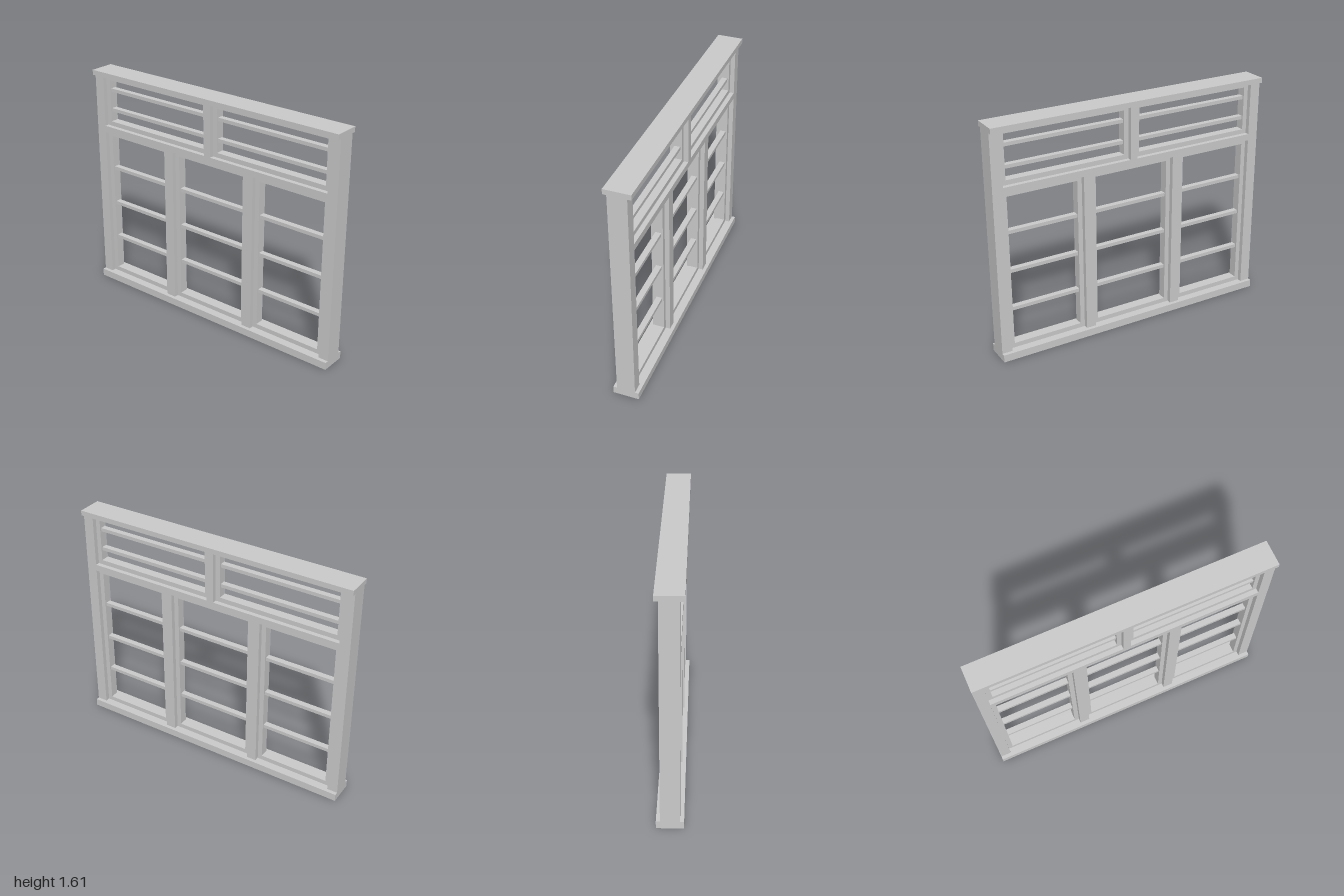
import * as THREE from 'three';

const material = new THREE.MeshStandardMaterial({ color: 0xcccccc, flatShading: true });

// Box spanning z0..z1 and y0..y1, centred on x = 0
function bar(name, depth, z0, z1, y0, y1) {
  const mesh = new THREE.Mesh(new THREE.BoxGeometry(depth, y1 - y0, z1 - z0), material);
  mesh.name = name;
  mesh.position.set(0, (y0 + y1) / 2, (z0 + z1) / 2);
  return mesh;
}

function rectangle(target, z0, z1, y0, y1) {
  target.moveTo(-z1, y0);
  target.lineTo(-z0, y0);
  target.lineTo(-z0, y1);
  target.lineTo(-z1, y1);
  target.closePath();
  return target;
}

// Inset sash: a rectangular ring with horizontal glazing bars
function sash(name, z0, z1, y0, y1, barHeights) {
  const depth = 0.062, rail = 0.032;
  const group = new THREE.Group();
  group.name = name;
  const shape = rectangle(new THREE.Shape(), z0, z1, y0, y1);
  shape.holes.push(rectangle(new THREE.Path(), z0 + rail, z1 - rail, y0 + rail, y1 - rail));
  const geometry = new THREE.ExtrudeGeometry(shape, { depth, bevelEnabled: false });
  geometry.translate(0, 0, -depth / 2);
  geometry.rotateY(Math.PI / 2);
  const ring = new THREE.Mesh(geometry, material);
  ring.name = 'sashFrame';
  group.add(ring);
  for (const y of barHeights) {
    group.add(bar('glazingBar', 0.04, z0 + rail, z1 - rail, y - 0.012, y + 0.012));
  }
  return group;
}

export function createModel() {
  const model = new THREE.Group();
  model.name = 'window';
  const capDepth = 0.176, frameDepth = 0.125;
  const sillTop = 0.052, headBottom = 1.575, height = 1.61;
  const transomBottom = 1.165, transomTop = 1.21;
  const jamb = 0.927;

  // Projecting sill and head
  model.add(bar('sill', capDepth, -1, 1, 0, sillTop));
  model.add(bar('head', capDepth, -1, 1, headBottom, height));

  // Fixed frame
  model.add(bar('transom', frameDepth, -jamb, jamb, transomBottom, transomTop));
  model.add(bar('upperMullion', frameDepth, -0.025, 0.025, transomTop, headBottom));
  for (const [a, b] of [[-1, -jamb], [jamb, 1]]) {
    model.add(bar('jamb', frameDepth, a, b, sillTop, headBottom));
  }
  for (const [a, b] of [[-0.372, -0.302], [0.302, 0.372]]) {
    model.add(bar('lowerMullion', frameDepth, a, b, sillTop, transomBottom));
  }

  // Two wide sashes above, three tall ones below
  for (const [a, b] of [[-jamb, -0.025], [0.025, jamb]]) {
    model.add(sash('upperSash', a, b, transomTop, headBottom, [1.325, 1.469]));
  }
  for (const [a, b] of [[-jamb, -0.372], [-0.302, 0.302], [0.372, jamb]]) {
    model.add(sash('lowerSash', a, b, sillTop, transomBottom, [0.336, 0.61, 0.884]));
  }
  return model;
}
